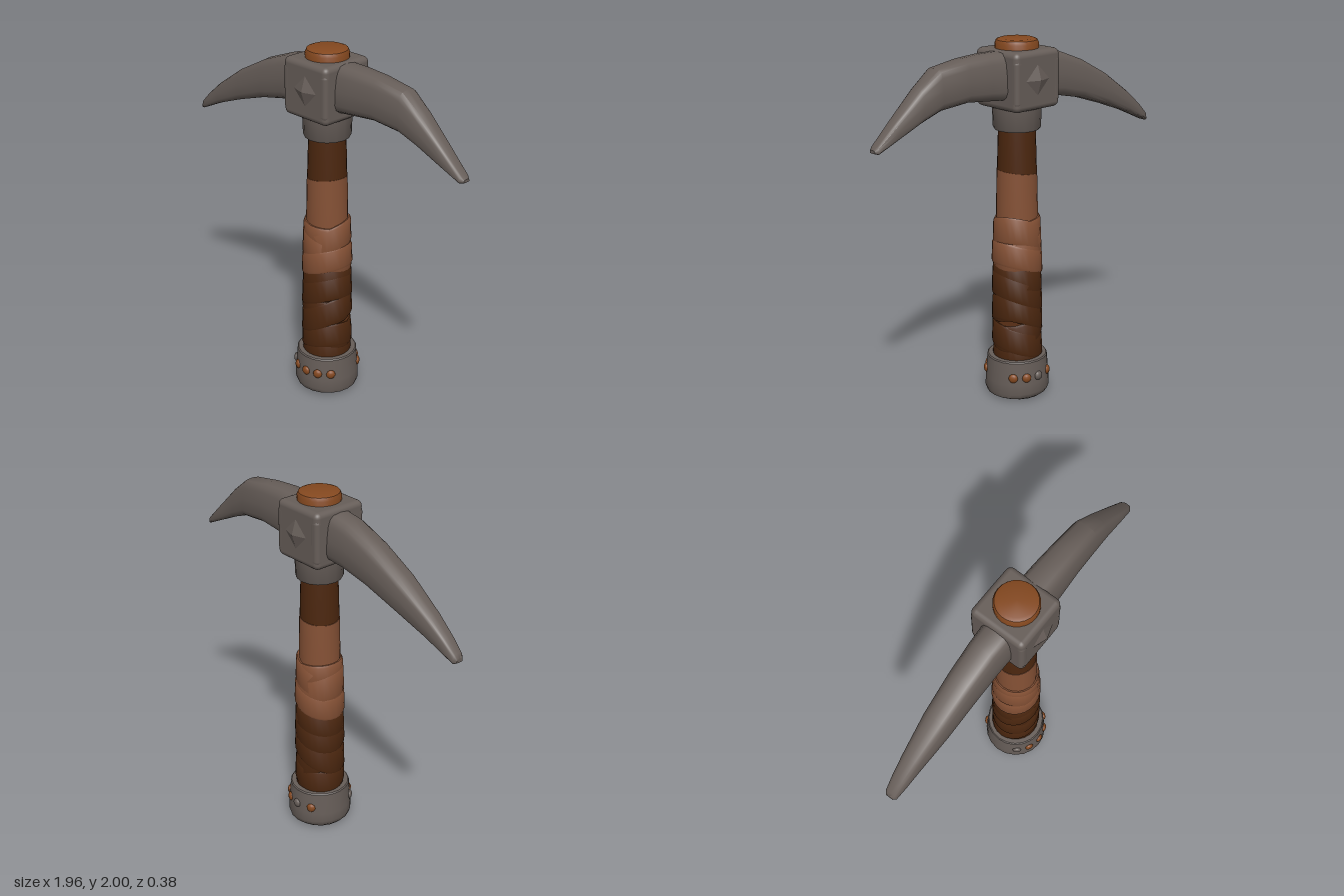
import * as THREE from 'three';
import { toCreasedNormals } from 'three/addons/utils/BufferGeometryUtils.js';
import { RoundedBoxGeometry } from 'three/addons/geometries/RoundedBoxGeometry.js';

const AXIS = 0.035; // x of the handle's centre line

export function createModel() {
  const model = new THREE.Group();
  model.name = 'pickaxe';

  const material = (name, color) => {
    const m = new THREE.MeshStandardMaterial({ color });
    m.name = name;
    return m;
  };
  const metal = material('grey metal', 0x665d58);
  const darkLeather = material('dark leather', 0x4c270f);
  const lightLeather = material('light leather', 0x855135);
  const rust = material('rusty brown', 0x84481f);

  const add = (name, geometry, mat, x = 0, y = 0, z = 0) => {
    const mesh = new THREE.Mesh(geometry, mat);
    mesh.name = name;
    mesh.position.set(x, y, z);
    model.add(mesh);
    return mesh;
  };

  // Closed round part from [radius, height] points; its ends may slope along x and z
  function turned(name, mat, points, slope = () => [0, 0], sides = 24) {
    const profile = points.map(([r, y]) => new THREE.Vector2(r, y));
    const g = new THREE.LatheGeometry(profile, sides);
    const p = g.attributes.position;
    for (let i = 0; i < p.count; i++) {
      const [sx, sz] = slope(p.getY(i));
      p.setY(i, p.getY(i) + sx * p.getX(i) + sz * p.getZ(i));
    }
    return add(name, toCreasedNormals(g, 0.7), mat, AXIS);
  }

  // Blade skinned over [x, bottom, top, halfDepth] sections, listed from -x to +x
  function blade(name, sections) {
    const N = 16, pos = [], index = [];
    const soft = (v) => Math.sign(v) * Math.abs(v) ** 0.55;
    for (const [x, lo, hi, depth] of sections) {
      for (let j = 0; j < N; j++) {
        const a = (j / N) * Math.PI * 2;
        const u = soft(Math.cos(a)), v = soft(Math.sin(a));
        pos.push(x, (lo + hi) / 2 + u * (hi - lo) / 2, v * depth * (0.92 - 0.1 * u));
      }
    }
    const last = (sections.length - 1) * N;
    for (let s = 0; s < last; s += N) {
      for (let j = 0; j < N; j++) {
        const k = (j + 1) % N;
        index.push(s + j, s + k, s + N + k, s + j, s + N + k, s + N + j);
      }
    }
    for (let j = 1; j < N - 1; j++) {
      index.push(0, j + 1, j, last, last + j, last + j + 1);
    }
    const g = new THREE.BufferGeometry();
    g.setAttribute('position', new THREE.Float32BufferAttribute(pos, 3));
    g.setIndex(index);
    add(name, toCreasedNormals(g, 0.65), metal);
  }

  // Long right-hand pick, curving down
  blade('longBlade', [
    [-0.98, 1.418, 1.44, 0.022], [-0.965, 1.41, 1.46, 0.037], [-0.9, 1.44, 1.523, 0.048],
    [-0.8, 1.485, 1.605, 0.06], [-0.6, 1.56, 1.74, 0.082], [-0.4, 1.625, 1.845, 0.092],
    [-0.23, 1.662, 1.91, 0.098], [-0.1, 1.675, 1.93, 0.103],
  ]);

  // Shorter left-hand pick with a kink
  blade('shortBlade', [
    [0.15, 1.69, 1.945, 0.103], [0.28, 1.703, 1.945, 0.098], [0.42, 1.716, 1.936, 0.09],
    [0.59, 1.7, 1.91, 0.082], [0.7, 1.658, 1.825, 0.068], [0.85, 1.59, 1.685, 0.051],
    [0.96, 1.54, 1.58, 0.037], [0.978, 1.546, 1.562, 0.022],
  ]);

  // Head block with a shallow raised point on its front and back
  add('headBlock', new RoundedBoxGeometry(0.315, 0.31, 0.32, 3, 0.03), metal, 0.028, 1.795, 0);
  for (const side of [1, -1]) {
    const g = new THREE.ConeGeometry(0.11, 0.035, 4).toNonIndexed();
    g.computeVertexNormals();
    const point = add('headPoint', g, metal, 0.035, 1.8, side * 0.168);
    point.rotation.x = side * Math.PI / 2;
  }
  // Lip around the root of each blade
  for (const x of [-0.1, 0.155]) {
    add('headLip', new RoundedBoxGeometry(0.06, 0.25, 0.322, 2, 0.025), metal, x, 1.79, 0);
  }
  turned('headCollar', metal,
    [[0, 1.52], [0.122, 1.52], [0.128, 1.53], [0.133, 1.67], [0, 1.67]], undefined, 16);

  // Handle: end showing above the head, bare shaft, smooth sleeve
  turned('handleEnd', rust,
    [[0, 1.9], [0.114, 1.9], [0.116, 1.975], [0.108, 1.993], [0.09, 2], [0, 2]]);
  turned('shaft', darkLeather, [[0, 1.1], [0.104, 1.1], [0.107, 1.3], [0.1, 1.54], [0, 1.54]]);
  turned('smoothSleeve', lightLeather,
    [[0, 0.95], [0.114, 0.95], [0.113, 1.1], [0.109, 1.287], [0, 1.287]],
    (y) => (y > 1.2 ? [0.12, 0.03] : [0, 0]));

  // Overlapping leather turns: [bottom, top, radius, slope x, slope z]
  const wrap = (name, mat, rows) => rows.forEach(([y0, y1, r, sx, sz]) => turned(name, mat,
    [[0, y0], [r - 0.004, y0], [r, y0 + 0.012], [r - 0.004, y1 - 0.012], [r - 0.01, y1], [0, y1]],
    () => [sx, sz]));
  wrap('lightWrap', lightLeather, [
    [0.74, 0.87, 0.14, 0.3, 0],
    [0.79, 0.95, 0.135, -0.3, 0.15],
    [0.85, 1.0, 0.133, 0.4, -0.2],
    [0.92, 1.03, 0.131, -0.08, 0],
  ]);
  wrap('darkWrap', darkLeather, [
    [0.2, 0.34, 0.136, 0, 0],
    [0.26, 0.4, 0.141, 0.25, 0.15],
    [0.33, 0.48, 0.138, -0.4, 0.1],
    [0.4, 0.55, 0.141, 0.45, -0.15],
    [0.48, 0.62, 0.137, -0.25, -0.2],
    [0.54, 0.68, 0.14, 0.4, 0.1],
    [0.62, 0.75, 0.137, 0.28, 0],
  ]);

  // Pommel cup at the bottom
  turned('pommel', metal,
    [[0, 0], [0.15, 0.003], [0.172, 0.02], [0.18, 0.045], [0.178, 0.1], [0.168, 0.225],
      [0.162, 0.231], [0, 0.231]],
    (y) => (y > 0.015 && y < 0.06 ? [-0.03, 0] : [0, 0]), 20);

  // Rivets round the pommel, in degrees from the front
  for (const degrees of [-50, -24, 3, 28, 53, 130, 155, 180, 212]) {
    const a = THREE.MathUtils.degToRad(degrees);
    const rivet = add('rivet', new THREE.SphereGeometry(0.026, 10, 8),
      degrees === -50 || degrees === 180 ? metal : rust,
      AXIS + Math.sin(a) * 0.173, 0.14, Math.cos(a) * 0.173);
    rivet.rotation.y = a;
    rivet.scale.z = 0.6;
  }

  return model;
}
